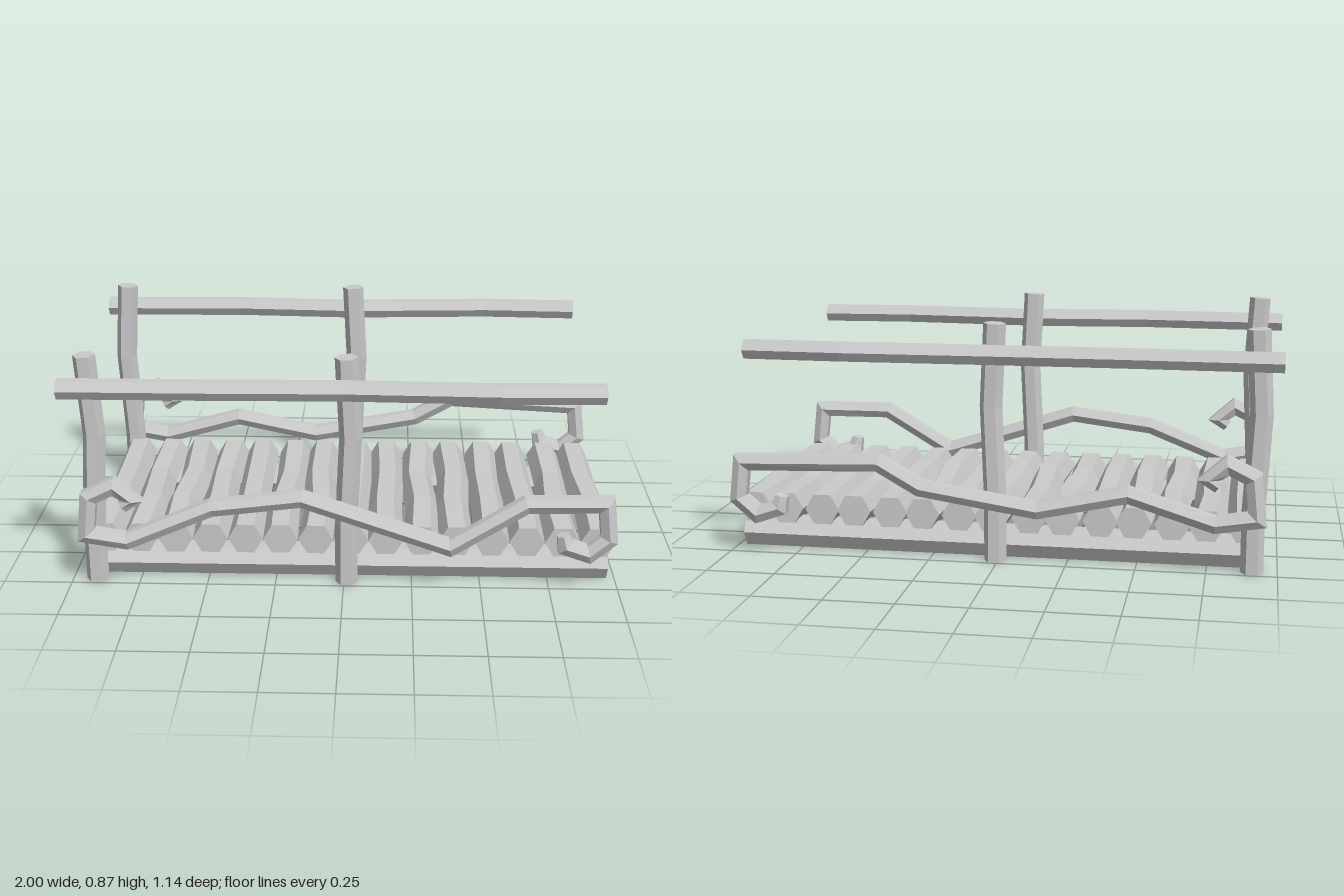
import * as THREE from 'three';

const material = new THREE.MeshStandardMaterial({ color: 0xcccccc, flatShading: true });

// Six-sided branch swept along a bent path; hint is the axis that carries two of its corners.
function branch(name, path, radius, hint, tipScale = 1) {
  const pts = path.map(p => new THREE.Vector3(...p));
  const last = pts.length - 1;
  const positions = [];
  const rings = pts.map((p, i) => {
    const before = p.clone().sub(pts[Math.max(i - 1, 0)]).normalize();
    const after = pts[Math.min(i + 1, last)].clone().sub(p).normalize();
    const t = before.clone().add(after).normalize();
    const u = hint.clone().addScaledVector(t, -hint.dot(t)).normalize();
    const v = t.clone().cross(u);
    // Mitre widens the ring at a bend so the branch keeps its thickness
    const inner = i > 0 && i < last;
    const mitre = inner ? Math.min(1 / Math.max(before.dot(t), 0.1), 1.4) : 1;
    const r = radius * (inner ? 1 : tipScale);
    return Array.from({ length: 6 }, (_, k) => {
      const a = k * Math.PI / 3;
      return p.clone().addScaledVector(u, r * Math.cos(a)).addScaledVector(v, r * mitre * Math.sin(a));
    });
  });
  const tri = (...corners) => corners.forEach(c => positions.push(c.x, c.y, c.z));
  for (let k = 0; k < 6; k++) {
    const n = (k + 1) % 6;
    for (let i = 0; i < last; i++) {
      const a = rings[i], b = rings[i + 1];
      tri(a[k], a[n], b[n]);
      tri(a[k], b[n], b[k]);
    }
    tri(pts[0], rings[0][n], rings[0][k]);
    tri(pts[last], rings[last][k], rings[last][n]);
  }
  const geometry = new THREE.BufferGeometry();
  geometry.setAttribute('position', new THREE.Float32BufferAttribute(positions, 3));
  geometry.computeVertexNormals();
  const mesh = new THREE.Mesh(geometry, material);
  mesh.name = name;
  return mesh;
}

export function createModel() {
  const model = new THREE.Group();
  model.name = 'logBridge';
  const X = new THREE.Vector3(1, 0, 0);
  const Z = new THREE.Vector3(0, 0, 1);

  // Deck of slightly crooked logs laid across the beams
  const deck = new THREE.Group();
  deck.name = 'deck';
  for (let i = 0; i < 15; i++) {
    const x = -0.88 + i * 0.1293;
    const s = i % 2 ? 1 : -1;
    const sway = 0.009 * Math.sin(i * 2.3);
    deck.add(branch('deckLog', [
      [x, 0.153, 0.43],
      [x + sway, 0.155, 0.15],
      [x - sway, 0.147 - 0.004 * s, -0.13],
      [x + 0.004 * s, 0.153, -0.43],
    ], 0.064, X));
  }
  model.add(deck);

  // Vine outlines (x, y) between the two curled ends
  const curlLeft = [[-0.79, 0.325], [-0.755, 0.35], [-0.82, 0.405], [-0.91, 0.36], [-0.925, 0.215], [-0.78, 0.19]];
  const curlRight = [[0.94, 0.345], [0.955, 0.21], [0.885, 0.15], [0.80, 0.18], [0.79, 0.225]];
  const vineMiddle = {
    front: [[-0.475, 0.315], [-0.15, 0.355], [0.385, 0.18], [0.655, 0.345]],
    back: [[-0.475, 0.28], [-0.15, 0.21], [0.27, 0.28], [0.42, 0.365]],
  };

  for (const [side, s] of [['front', 1], ['back', -1]]) {
    const rail = new THREE.Group();
    rail.name = side + 'Side';

    // Ground beam
    rail.add(branch('beam', [[-0.94, 0.055, s * 0.38], [0.97, 0.055, s * 0.38]], 0.062, Z));

    // Crooked posts
    for (const [x, bend] of [[-0.91, 0.018 * s], [0.01, 0.015]]) {
      rail.add(branch('post', [
        [x, 0, s * 0.458],
        [x, 0.23, s * 0.458],
        [x + bend, 0.57, s * 0.453],
        [x, 0.868, s * 0.458],
      ], 0.041, X));
    }

    // Handrail
    rail.add(branch('handrail', [
      [-1, 0.763, s * 0.52],
      [-0.45, 0.765, s * 0.525],
      [0, 0.762, s * 0.51],
      [0.55, 0.764, s * 0.533],
      [0.91, 0.763, s * 0.52],
    ], 0.038, Z));

    // Curling vine hung outside the posts
    const outline = [...curlLeft, ...vineMiddle[side], ...curlRight];
    rail.add(branch('vine', outline.map(([x, y]) =>
      [x, y, s * (0.524 + 0.012 * Math.sin(x * 5))]), 0.034, Z, 0.75));

    model.add(rail);
  }
  return model;
}
